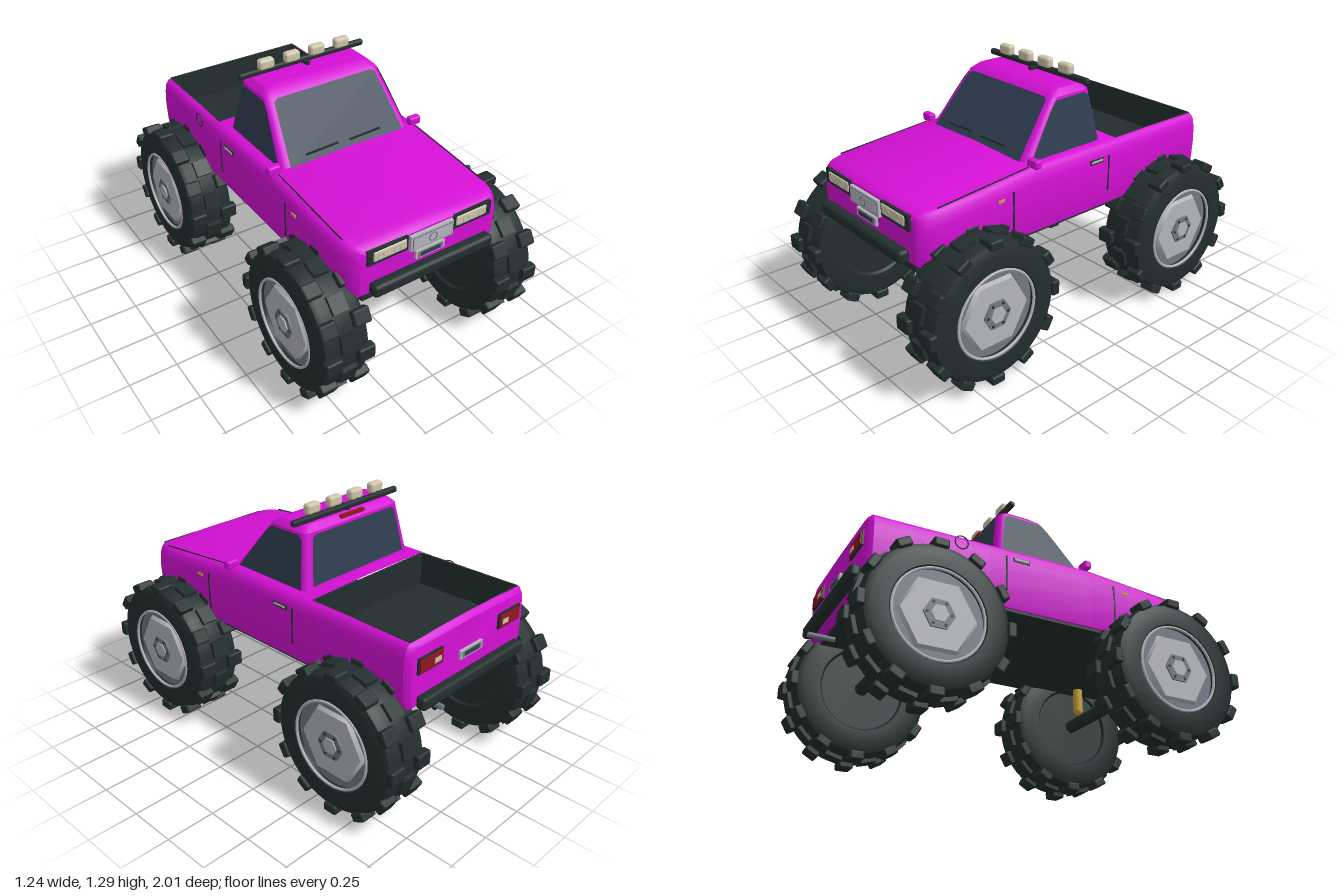
import * as THREE from 'three';
import { toCreasedNormals } from 'three/addons/utils/BufferGeometryUtils.js';
import { RoundedBoxGeometry } from 'three/addons/geometries/RoundedBoxGeometry.js';

const mat = (name, color, side = THREE.FrontSide) => {
  const m = new THREE.MeshStandardMaterial({ color, side });
  m.name = name;
  return m;
};
const paint = mat('magenta paint', 0xd410d4);
const dark = mat('black rubber and trim', 0x232e2e);
const glass = mat('tinted glass', 0x2f3e50, THREE.DoubleSide);
const lens = mat('cream lens', 0xcfc5ac);
const silver = mat('silver', 0xb4b6bc);
const grey = mat('dark grey metal', 0x747782);
const gold = mat('gold', 0xc79f38);
const red = mat('red lens', 0x921622);

function add(parent, name, geo, material, x = 0, y = 0, z = 0) {
  const m = new THREE.Mesh(geo, material);
  m.name = name;
  m.position.set(x, y, z);
  parent.add(m);
  return m;
}
const box = (w, h, d) => new THREE.BoxGeometry(w, h, d);
const rbox = (w, h, d, r) => new RoundedBoxGeometry(w, h, d, 2, r);
const cyl = (r, h, n = 20) => new THREE.CylinderGeometry(r, r, h, n);

// Skin closed rings of [x, y, z]; skip(i, j) leaves a quad open
function loft(rings, skip = () => false, crease = 0.55) {
  const n = rings[0].length, last = rings.length - 1, idx = [];
  for (let i = 0; i < last; i++) for (let j = 0; j < n; j++) {
    if (skip(i, j)) continue;
    const k = (j + 1) % n, a = i * n + j, b = i * n + k, c = b + n, d = a + n;
    idx.push(a, d, c, a, c, b);
  }
  for (let j = 1; j < n - 1; j++) {
    idx.push(0, j, j + 1);
    idx.push(last * n, last * n + j + 1, last * n + j);
  }
  const g = new THREE.BufferGeometry();
  g.setAttribute('position', new THREE.Float32BufferAttribute(rings.flat(2), 3));
  g.setIndex(idx);
  return toCreasedNormals(g, crease);
}

// Body cross-section at one z
function bodyRing([z, w, bot, top]) {
  const h = top - bot;
  const half = [[w * 0.96, bot], [w * 0.99, bot + 0.2 * h], [w, bot + 0.55 * h],
    [w - 0.004, top - 0.07], [w - 0.012, top - 0.03], [w - 0.025, top - 0.01], [w - 0.045, top]];
  const other = half.map(([x, y]) => [-x, y]).reverse();
  return [...half, [0, top + 0.006], ...other].map(([x, y]) => [x, y, z]);
}

// Cab planes: half width, windshield and rear window against height
const cabW = y => 0.375 - 0.18 * (y - 0.9);
const cabF = y => 0.26 - 0.79 * (y - 0.915);
const cabB = y => -0.24 + 0.16 * (y - 0.9);

// Rounded rectangle at one height
function cabRing([y, f, b, w, r]) {
  const pts = [];
  [[1, f], [1, b], [-1, b], [-1, f]].forEach(([sx, z], c) => {
    const cz = z === f ? z - r : z + r;
    for (let k = 0; k <= 4; k++) {
      const a = (c + k / 4) * Math.PI / 2;
      pts.push([sx * (w - r) + r * Math.sin(a), y, cz + r * Math.cos(a)]);
    }
  });
  return pts;
}

// Flat outline laid on a sloping plane
function pane(points, place) {
  const g = new THREE.ShapeGeometry(new THREE.Shape(points.map(p => new THREE.Vector2(...p))));
  const p = g.attributes.position;
  for (let i = 0; i < p.count; i++) p.setXYZ(i, ...place(p.getX(i), p.getY(i)));
  g.computeVertexNormals();
  return g;
}

function buildBody(truck) {
  const body = new THREE.Group();
  body.name = 'body';
  truck.add(body);
  const stations = [[0.892, 0.38, 0.61, 0.838], [0.878, 0.402, 0.6, 0.852], [0.84, 0.425, 0.59, 0.862],
    [0.78, 0.438, 0.585, 0.87], [0.6, 0.445, 0.585, 0.885], [0.26, 0.447, 0.585, 0.915],
    [-0.31, 0.447, 0.585, 0.912], [-0.89, 0.44, 0.585, 0.91], [-0.905, 0.43, 0.59, 0.9], [-0.915, 0.415, 0.6, 0.885]];
  add(body, 'bodyShell', loft(stations.map(bodyRing), (i, j) => i === 6 && (j === 6 || j === 7)), paint);
  add(body, 'underside', box(0.84, 0.025, 1.74), dark, 0, 0.583, 0);
  add(body, 'frontValance', box(0.72, 0.04, 0.05), dark, 0, 0.59, 0.86);

  // Open load bed
  add(body, 'bedFloor', box(0.79, 0.01, 0.58), dark, 0, 0.735, -0.6);
  for (const s of [-1, 1]) {
    add(body, 'bedSide', box(0.01, 0.182, 0.58), dark, s * 0.395, 0.82, -0.6);
    add(body, 'bedEnd', box(0.79, 0.182, 0.01), dark, 0, 0.82, -0.6 + s * 0.287);
  }

  // Cab and windows
  const ring = (y, r) => [y, cabF(y), cabB(y), cabW(y), r];
  const cab = [[1.213, -0.02, -0.13, 0.25, 0.03], [1.207, 0.012, -0.165, 0.295, 0.03],
    ring(1.178, 0.035), ring(0.88, 0.04)];
  add(body, 'cab', loft(cab.map(cabRing)), paint);
  const front = [[-0.33, 0.915], [0.33, 0.915], [0.293, 1.165], [0.27, 1.177], [-0.27, 1.177], [-0.293, 1.165]];
  add(body, 'windshield', pane(front, (x, y) => [x, y, cabF(y) + 0.005]), glass);
  const back = front.map(([x, y]) => [x * 0.98, y < 1 ? 0.93 : y - 0.01]);
  add(body, 'rearWindow', pane(back, (x, y) => [x, y, cabB(y) - 0.005]), glass);
  const side = [[0.225, 0.918], [0.13, 1.05], [0.07, 1.13], [0.035, 1.165], [-0.15, 1.168], [-0.175, 1.15], [-0.212, 0.918]];
  for (const s of [-1, 1]) {
    add(body, 'sideWindow', pane(side, (z, y) => [s * (cabW(y) + 0.004), y, z]), glass);
    const wiper = add(body, 'wiper', box(0.18, 0.008, 0.008), dark, s * 0.125 - 0.015, 0.95, cabF(0.95) + 0.012);
    wiper.rotation.z = 0.03;

    // Mirrors, door seams, handles and markers
    add(body, 'mirror', rbox(0.07, 0.045, 0.04, 0.012), paint, s * 0.415, 0.93, 0.245);
    add(body, 'mirrorStem', box(0.02, 0.04, 0.02), dark, s * 0.405, 0.9, 0.245);
    add(body, 'frontDoorSeam', box(0.008, 0.2, 0.008), dark, s * 0.443, 0.74, 0.395);
    add(body, 'rearDoorSeam', box(0.008, 0.185, 0.008), dark, s * 0.444, 0.76, -0.222);
    add(body, 'handleRecess', box(0.008, 0.022, 0.09), dark, s * 0.443, 0.842, -0.14);
    add(body, 'doorHandle', box(0.014, 0.01, 0.075), silver, s * 0.444, 0.844, -0.14);
    add(body, 'sideMarker', box(0.01, 0.014, 0.035), gold, s * 0.442, 0.815, 0.465);
    const seam = add(body, 'hoodSeam', box(0.005, 0.005, 0.52), dark, s * 0.403, 0.891, 0.53);
    seam.rotation.x = 0.086;
  }
  const cap = add(body, 'fuelCap', new THREE.TorusGeometry(0.034, 0.003, 6, 24), dark, -0.442, 0.862, -0.46);
  cap.rotation.y = Math.PI / 2;
}

function buildEnds(truck) {
  // Nose: grille, lamps, plate and bumper
  add(truck, 'grille', box(0.24, 0.08, 0.02), silver, 0, 0.795, 0.9);
  add(truck, 'grilleFrame', box(0.222, 0.064, 0.004), grey, 0, 0.795, 0.911);
  add(truck, 'grillePanel', box(0.214, 0.056, 0.006), silver, 0, 0.795, 0.912);
  add(truck, 'grilleRing', new THREE.TorusGeometry(0.021, 0.003, 6, 24), grey, 0, 0.797, 0.915);
  add(truck, 'frontBumper', rbox(0.68, 0.065, 0.06, 0.02), dark, 0, 0.65, 0.925);
  add(truck, 'rearBumper', rbox(0.76, 0.065, 0.055, 0.018), dark, 0, 0.62, -0.94);
  for (const [y, z] of [[0.715, 0.896], [0.735, -0.92]]) {
    const s = Math.sign(z);
    add(truck, 'plateFrame', box(0.165, 0.042, 0.016), silver, 0, y, z);
    add(truck, 'plateRim', box(0.14, 0.03, 0.004), grey, 0, y, z + s * 0.008);
    add(truck, 'platePanel', box(0.11, 0.02, 0.006), glass, 0, y, z + s * 0.009);
  }
  for (const s of [-1, 1]) {
    add(truck, 'headlightFrame', box(0.218, 0.074, 0.03), dark, s * 0.24, 0.808, 0.888);
    add(truck, 'headlight', rbox(0.18, 0.052, 0.02, 0.008), lens, s * 0.23, 0.811, 0.899);
    for (const dx of [-0.04, 0.05]) {
      add(truck, 'bulb', new THREE.TorusGeometry(0.017, 0.002, 6, 16), silver, s * (0.235 + dx), 0.809, 0.909);
    }
    add(truck, 'tailLightFrame', box(0.17, 0.078, 0.02), dark, s * 0.295, 0.795, -0.915);
    add(truck, 'tailLight', box(0.154, 0.062, 0.016), red, s * 0.295, 0.795, -0.922);
    add(truck, 'reverseLight', box(0.045, 0.024, 0.006), lens, s * 0.255, 0.79, -0.93);
  }
  add(truck, 'exhaustPipe', cyl(0.014, 0.14, 12), grey, 0.25, 0.56, -0.9).rotation.x = Math.PI / 2;

  // Roof bar with four lamps
  add(truck, 'roofBar', rbox(0.73, 0.032, 0.03, 0.012), dark, 0, 1.226, -0.145);
  add(truck, 'roofBarMount', box(0.02, 0.03, 0.07), dark, 0, 1.215, -0.125);
  for (const x of [-0.22, -0.073, 0.073, 0.22]) {
    add(truck, 'roofLamp', rbox(0.085, 0.055, 0.045, 0.016), lens, x, 1.267, -0.13);
    add(truck, 'lampStem', box(0.02, 0.03, 0.02), dark, x, 1.24, -0.14);
  }
  add(truck, 'highBrakeLight', box(0.16, 0.016, 0.02), red, 0, 1.198, -0.18);
}

const WHEEL_Z = 0.632, WHEEL_Y = 0.372;

function buildWheel() {
  const wheel = new THREE.Group(), spin = new THREE.Group();
  wheel.name = 'wheel';
  spin.name = 'tireAndRim';
  spin.rotation.z = -Math.PI / 2;
  wheel.add(spin);
  const profile = [[0, -0.112], [0.21, -0.112], [0.22, -0.125], [0.305, -0.125], [0.335, -0.112], [0.345, -0.09],
    [0.345, 0.09], [0.335, 0.112], [0.305, 0.125], [0.228, 0.125], [0.22, 0.115], [0.218, 0.08]];
  const tire = new THREE.LatheGeometry(profile.map(p => new THREE.Vector2(...p)), 48);
  add(spin, 'tire', toCreasedNormals(tire, 0.6), dark);

  // Staggered tread blocks
  const shoulder = rbox(0.075, 0.088, 0.045, 0.01), middle = box(0.085, 0.08, 0.03);
  for (let i = 0; i < 12; i++) {
    for (const [name, geo, h, r, turn] of [['shoulderLug', shoulder, 0.086, 0.3495, 0],
      ['shoulderLug', shoulder, -0.086, 0.3495, 0], ['centreLug', middle, 0, 0.348, 0.5]]) {
      const a = (i + turn) * Math.PI / 6 + Math.PI / 2;
      add(spin, name, geo, dark, Math.sin(a) * r, h, Math.cos(a) * r).rotation.y = a;
    }
  }

  // Rim with hexagonal centre
  add(spin, 'rimDish', cyl(0.219, 0.02, 40), grey, 0, 0.085, 0);
  add(spin, 'rimLip', new THREE.TorusGeometry(0.216, 0.007, 8, 40), silver, 0, 0.12, 0).rotation.x = Math.PI / 2;
  add(spin, 'hexPlate', new THREE.CylinderGeometry(0.178, 0.19, 0.02, 6).toNonIndexed(), silver, 0, 0.105, 0);
  add(spin, 'hub', cyl(0.076, 0.012, 6), grey, 0, 0.118, 0);
  add(spin, 'hubCap', cyl(0.042, 0.02, 6), silver, 0, 0.12, 0);
  for (let i = 0; i < 6; i++) {
    const a = i * Math.PI / 3;
    add(spin, 'bolt', cyl(0.007, 0.02, 8), dark, Math.sin(a) * 0.058, 0.117, Math.cos(a) * 0.058);
  }
  return wheel;
}

export function createModel() {
  const truck = new THREE.Group();
  truck.name = 'monsterPickup';
  buildBody(truck);
  buildEnds(truck);

  // Axles, shock absorbers and wheels
  const wheel = buildWheel();
  for (const z of [WHEEL_Z, -WHEEL_Z]) {
    add(truck, 'axle', cyl(0.035, 0.8), dark, 0, WHEEL_Y + 0.003, z).rotation.z = Math.PI / 2;
    for (const s of [-1, 1]) {
      add(truck, 'shockAbsorber', new THREE.CapsuleGeometry(0.027, 0.15, 4, 16), gold, s * 0.293, 0.52, z);
      const w = wheel.clone();
      w.position.set(s * 0.49, WHEEL_Y, z);
      w.rotation.y = s > 0 ? 0 : Math.PI;
      truck.add(w);
    }
  }
  return truck;
}
